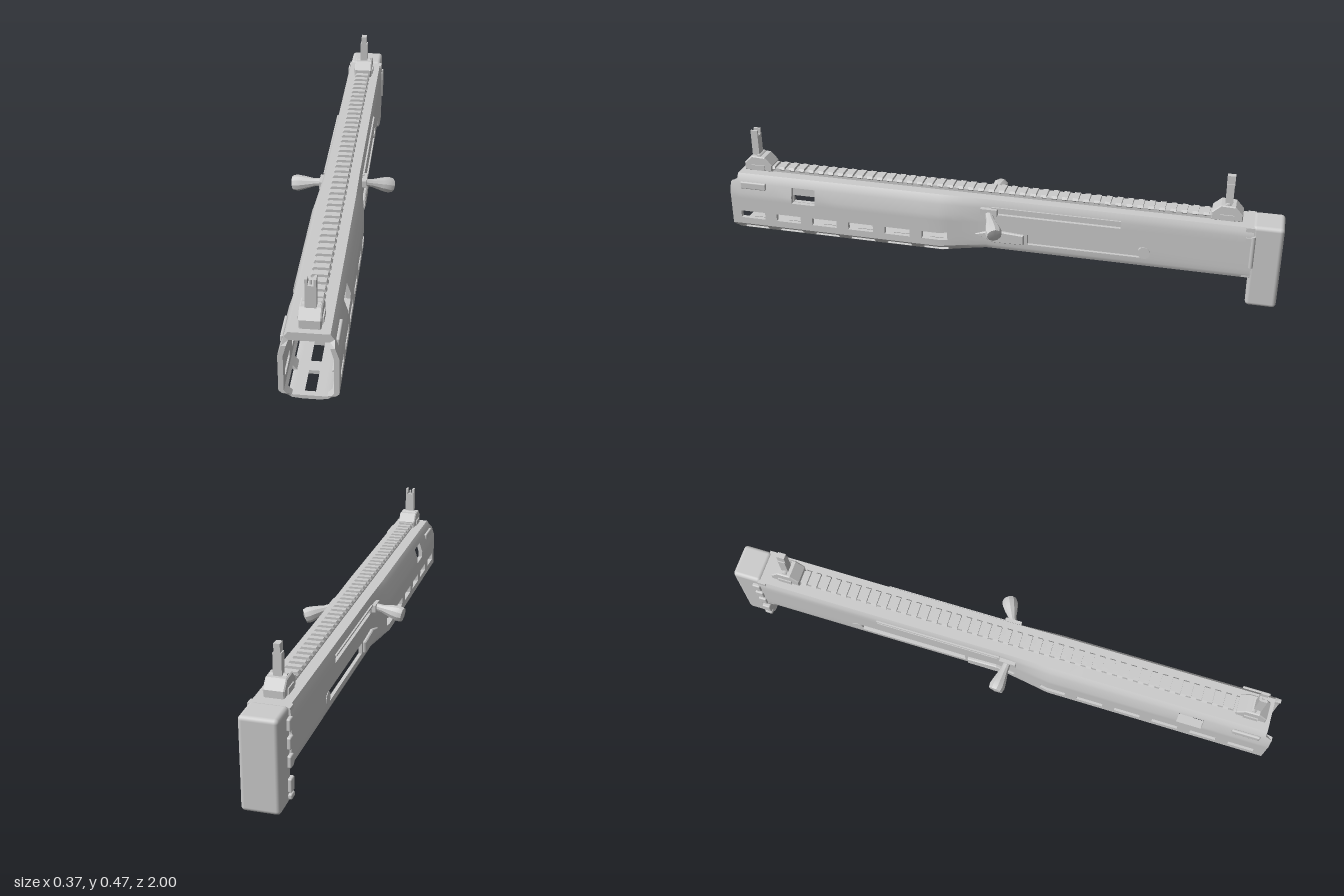
import * as THREE from 'three';
import { toCreasedNormals } from 'three/addons/utils/BufferGeometryUtils.js';
import { RoundedBoxGeometry } from 'three/addons/geometries/RoundedBoxGeometry.js';

const mat = new THREE.MeshStandardMaterial({ color: 0xcccccc });
const shellMat = new THREE.MeshStandardMaterial({ color: 0xcccccc, side: THREE.DoubleSide });

// Half profiles (x, y) from top centre to bottom centre
const GUARD = [[0, .305], [.062, .305], [.074, .288], [.078, .274], [.09, .237], [.09, .215], [.09, .163],
  [.09, .135], [.09, .11], [.08, .1], [.064, .083], [.052, .075], [.02, .072], [0, .072]];
const RECEIVER = [[0, .305], [.06, .305], [.066, .29], [.068, .272], [.068, .25], [.068, .215], [.068, .185],
  [.068, .145], [.067, .128], [.065, .118], [.062, .112], [.055, .11], [.02, .11], [0, .11]];
const BACK = -.9;

// Openings: profile strip, front z, back z
const holes = [[3, .76, .67], [4, .76, .67], [3, 0, -.45], [6, -.12, -.54], [11, .03, BACK], [12, .03, BACK]];
for (let i = 0; i < 6; i++)
  for (const strip of [6, 9, 12]) holes.push([strip, .965 - .14 * i, .87 - .14 * i]);

function ring(z) {
  const t = THREE.MathUtils.clamp((z - .03) / .17, 0, 1);
  const floor = THREE.MathUtils.lerp(.122, .085, t);
  return GUARD.map(([gx, gy], i) => {
    const x = THREE.MathUtils.lerp(RECEIVER[i][0], gx, t);
    const y = THREE.MathUtils.lerp(RECEIVER[i][1], gy, t);
    // the mouth is cut back at top and bottom
    const pz = z === 1 ? (i < 3 ? .975 : i > 9 ? .985 : 1) : z;
    return {
      out: [x, y, pz],
      inn: [x * .82, THREE.MathUtils.clamp(y, floor, .277), pz],
    };
  });
}

// Hollow shell lofted along z, with walls around every opening
function shellGeometry() {
  const zs = [...new Set([1, .2, .115, .03, BACK, ...holes.flatMap(h => [h[1], h[2]])]
    .map(v => +v.toFixed(4)))].sort((a, b) => b - a);
  const rings = zs.map(ring);
  const strips = GUARD.length - 1;
  const solid = (j, k) => {
    if (k < 0 || k >= zs.length - 1) return false;
    if (j < 0 || j >= strips) j = j < 0 ? 0 : strips - 1;
    const m = (zs[k] + zs[k + 1]) / 2;
    return !holes.some(h => h[0] === j && m < h[1] && m > h[2]);
  };
  const pos = [];
  for (const s of [1, -1]) {
    const quad = (a, b, c, d) => {
      const order = s > 0 ? [a, b, c, a, c, d] : [a, c, b, a, d, c];
      for (const p of order) pos.push(p[0] * s, p[1], p[2]);
    };
    for (let k = 0; k < zs.length - 1; k++) for (let j = 0; j < strips; j++) {
      if (!solid(j, k)) continue;
      const c = [rings[k][j], rings[k][j + 1], rings[k + 1][j + 1], rings[k + 1][j]];
      quad(...c.map(p => p.out));
      quad(...c.map(p => p.inn).reverse());
      const next = [[j, k - 1], [j + 1, k], [j, k + 1], [j - 1, k]];
      next.forEach(([nj, nk], e) => {
        if (solid(nj, nk)) return;
        const p = c[e], q = c[(e + 1) % 4];
        quad(q.out, p.out, p.inn, q.inn);
      });
    }
  }
  const g = new THREE.BufferGeometry();
  g.setAttribute('position', new THREE.Float32BufferAttribute(pos, 3));
  return toCreasedNormals(g, .5);
}

export function createModel() {
  const model = new THREE.Group();
  model.name = 'receiverShell';

  const add = (parent, name, geo, x = 0, y = 0, z = 0, m = mat) => {
    const mesh = new THREE.Mesh(geo, m);
    mesh.name = name;
    mesh.position.set(x, y, z);
    parent.add(mesh);
    return mesh;
  };
  const box = (parent, name, w, h, d, x, y, z) => add(parent, name, new THREE.BoxGeometry(w, h, d), x, y, z);
  const group = name => {
    const g = new THREE.Group();
    g.name = name;
    model.add(g);
    return g;
  };

  add(model, 'housing', shellGeometry(), 0, 0, 0, shellMat);
  box(model, 'portCover', .008, .05, .46, .053, .165, -.33);

  // Toothed top rail
  const rail = group('topRail');
  box(rail, 'railBase', .046, .014, 1.78, 0, .311, .06);
  const toothShape = new THREE.Shape([[-.022, .312], [.022, .312], [.03, .319], [.024, .327], [-.024, .327], [-.03, .319]]
    .map(p => new THREE.Vector2(...p)));
  const tooth = new THREE.ExtrudeGeometry(toothShape, { depth: .02, bevelEnabled: false });
  for (let i = 0; i < 46; i++) add(rail, 'railTooth', tooth, 0, 0, .88 - i * .0378);

  // Flip-up sights
  const baseShape = new THREE.Shape([[-.05, .31], [.05, .31], [.05, .33], [.025, .358], [-.022, .36], [-.05, .335]]
    .map(p => new THREE.Vector2(...p)));
  const baseGeo = new THREE.ExtrudeGeometry(baseShape, { depth: .06, bevelEnabled: true, bevelSize: .003, bevelThickness: .004, bevelSegments: 1 });
  baseGeo.translate(0, 0, -.03).rotateY(Math.PI / 2);
  const sight = (name, z) => {
    const g = group(name);
    add(g, 'sightBase', baseGeo, 0, 0, z);
    const bolt = add(g, 'sightPivot', new THREE.CylinderGeometry(.012, .012, .054, 10), 0, .355, z);
    bolt.rotation.z = Math.PI / 2;
    for (const s of [1, -1]) box(g, 'sightClamp', .012, .02, .05, s * .032, .32, z);
    return g;
  };
  const front = sight('frontSight', .905);
  box(front, 'sightPost', .034, .085, .026, 0, .395, .917);
  for (const s of [1, -1]) box(front, 'sightEar', .008, .024, .026, s * .013, .447, .917);
  box(front, 'sightPin', .006, .016, .008, 0, .444, .917);
  const rear = sight('rearSight', -.805);
  box(rear, 'sightPost', .028, .08, .026, 0, .395, -.807);
  box(rear, 'sightTop', .02, .036, .028, 0, .447, -.807);

  // Flared side handles
  const knobProfile = [[0, 0], [.013, 0], [.015, .03], [.024, .065], [.029, .09], [.026, .107], [0, .112]]
    .map(p => new THREE.Vector2(...p));
  const knobGeo = toCreasedNormals(new THREE.LatheGeometry(knobProfile, 10), .6);
  const handle = (name, base, tip) => {
    const a = new THREE.Vector3(...base);
    const dir = new THREE.Vector3(...tip).sub(a).normalize();
    const knob = add(model, name, knobGeo, ...base);
    knob.quaternion.setFromUnitVectors(new THREE.Vector3(0, 1, 0), dir);
    box(model, name + 'Mount', .026, .026, .06, base[0] * .93, .263, base[2]);
  };
  handle('leftHandle', [.077, .255, .018], [.178, .222, -.028]);
  handle('rightHandle', [-.074, .262, .043], [-.182, .245, .03]);

  // Side details
  const lugShape = new THREE.Shape([[.065, .17], [0, .187], [-.105, .18], [-.105, .148], [0, .146]]
    .map(p => new THREE.Vector2(-p[0], p[1])));
  const lugGeo = new THREE.ExtrudeGeometry(lugShape, { depth: .012, bevelEnabled: true, bevelSize: .003, bevelThickness: .004, bevelSegments: 1 });
  lugGeo.translate(0, 0, -.006).rotateY(Math.PI / 2);
  for (const s of [1, -1]) {
    add(model, 'sideLug', lugGeo, s * .069, 0, 0);
    add(model, 'slingMount', new RoundedBoxGeometry(.012, .028, .1, 2, .005), s * .081, .266, .91);
    const pivot = add(model, 'slotEnd', new THREE.CylinderGeometry(.022, .022, .012, 16), s * .064, .165, -.535);
    pivot.rotation.z = Math.PI / 2;
    box(model, 'slitRail', .006, .006, .46, s * .07, .277, -.22);
  }

  // Rear end block with hinge lugs
  const rearBlock = group('endBlock');
  add(rearBlock, 'endPad', new RoundedBoxGeometry(.124, .31, .106, 3, .014), 0, .155, -.947);
  box(rearBlock, 'hingeCollar', .132, .19, .03, 0, .21, -.888);
  for (const [y, h] of [[.025, .018], [.062, .046], [.14, .04], [.2, .04], [.26, .04]])
    add(rearBlock, 'hingeKnuckle', new RoundedBoxGeometry(.022, h, .03, 2, .005), -.063, y, -.912);
  add(rearBlock, 'hingePin', new THREE.CylinderGeometry(.008, .008, .12, 10), .067, .215, -.9);
  box(rearBlock, 'latch', .012, .03, .03, .066, .255, -.89);
  return model;
}
